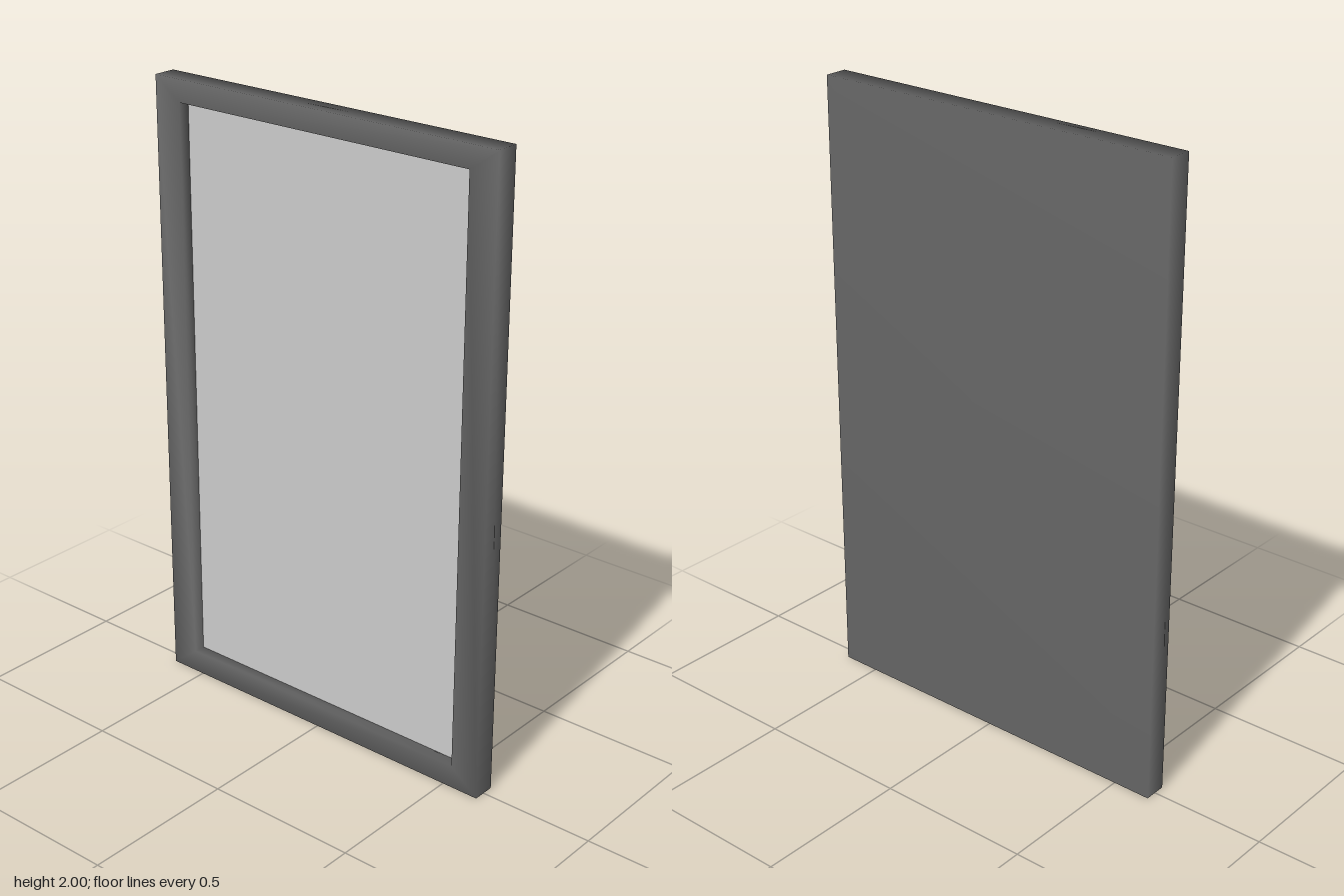
import * as THREE from 'three';

const DEPTH = 0.037;   // half thickness of the frame
const PANEL_Z = 0.0;   // recess of the panel

// Rectangular rings from the back rim, over the front, into the opening
const rings = [
  { hw: 0.625, y0: 0, y1: 2, z: -DEPTH },
  { hw: 0.625, y0: 0, y1: 2, z: DEPTH },
  { hw: 0.53, y0: 0.073, y1: 1.93, z: DEPTH },
  { hw: 0.53, y0: 0.073, y1: 1.93, z: PANEL_Z },
];

// Frame with shared corners, so its shading runs softly round the edges
function frameGeometry() {
  const positions = [];
  const index = [];
  for (const { hw, y0, y1, z } of rings) {
    positions.push(-hw, y0, z, hw, y0, z, hw, y1, z, -hw, y1, z);
  }
  for (let r = 0; r < rings.length - 1; r++) {
    for (let j = 0; j < 4; j++) {
      const k = (j + 1) % 4;
      const a = r * 4 + j, b = r * 4 + k, c = b + 4, d = a + 4;
      index.push(a, b, c, a, c, d);
    }
  }
  // closed back
  index.push(0, 3, 2, 0, 2, 1);
  const geometry = new THREE.BufferGeometry();
  geometry.setAttribute('position', new THREE.Float32BufferAttribute(positions, 3));
  geometry.setIndex(index);
  geometry.computeVertexNormals();
  return geometry;
}

export function createModel() {
  const model = new THREE.Group();
  model.name = 'framedPanel';

  const frame = new THREE.Mesh(
    frameGeometry(),
    new THREE.MeshStandardMaterial({ color: 0x666666 })
  );
  frame.name = 'frame';
  model.add(frame);

  // Flat panel set back inside the opening
  const { hw, y0, y1 } = rings[3];
  const panel = new THREE.Mesh(
    new THREE.PlaneGeometry(hw * 2, y1 - y0),
    new THREE.MeshStandardMaterial({ color: 0xcccccc })
  );
  panel.name = 'panel';
  panel.position.set(0, (y0 + y1) / 2, PANEL_Z);
  model.add(panel);

  return model;
}
